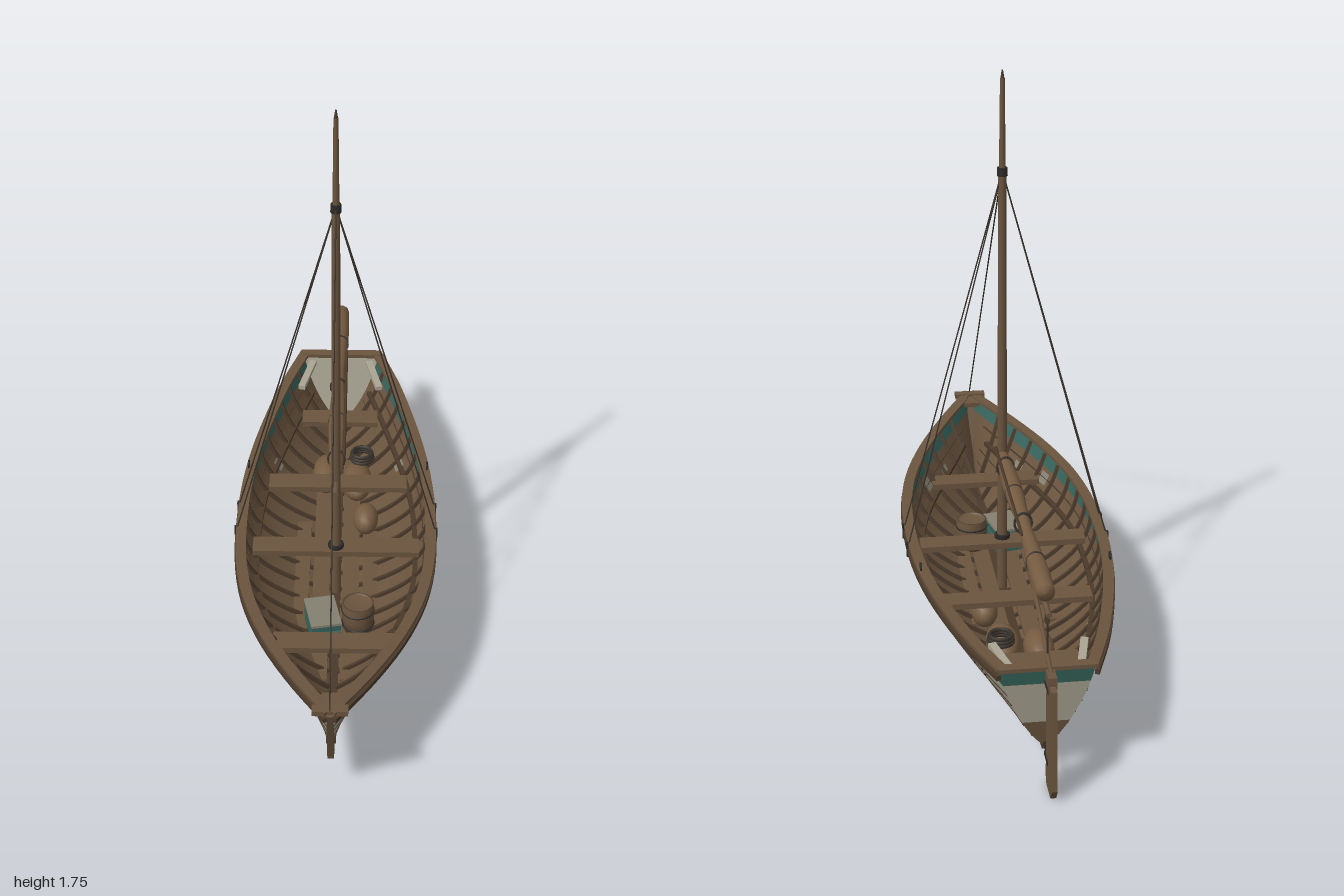
import * as THREE from 'three';

const mat = (name, color, side = THREE.FrontSide) => {
  const m = new THREE.MeshStandardMaterial({ color, side });
  m.name = name;
  return m;
};
const WOOD = mat('weathered wood', 0x6a543e, THREE.DoubleSide);
const DARK = mat('dark wood', 0x4b3a2b, THREE.DoubleSide);
const WHITE = mat('old white paint', 0xaaa594, THREE.DoubleSide);
const WORN = mat('worn paint', 0x858070, THREE.DoubleSide);
const TEAL = mat('teal paint', 0x35625a, THREE.DoubleSide);
const SAIL = mat('tan canvas', 0x755b41);
const ROPE = mat('tarred rope', 0x3a332c);
const IRON = mat('iron', 0x2c2a28);

// Hull stations from stern to bow: half beam, sheer height, keel height
const stations = new THREE.CatmullRomCurve3([
  [0.13, 0.335, 0.072], [0.19, 0.328, 0.064], [0.235, 0.321, 0.06], [0.27, 0.317, 0.058],
  [0.291, 0.315, 0.058], [0.297, 0.315, 0.058], [0.29, 0.318, 0.06], [0.26, 0.326, 0.066],
  [0.2, 0.338, 0.078], [0.113, 0.354, 0.1], [0.008, 0.374, 0.136],
].map(p => new THREE.Vector3(...p)), false, 'catmullrom');
const lerp = THREE.MathUtils.lerp;
const uAt = z => (z + 0.865) / 1.85;

// Point on the hull: u runs stern to bow, h runs keel to sheer
function hull(u, h, side = 1, inset = 0) {
  const s = stations.getPoint(THREE.MathUtils.clamp(u, 0, 1));
  const full = Math.sin(Math.PI / 2 * Math.pow(h, 0.72));
  const vee = Math.pow(h, 0.85);
  const w = Math.max(THREE.MathUtils.smoothstep(u, 0.55, 1), 0.5 * (1 - THREE.MathUtils.smoothstep(u, 0, 0.4)));
  const x = Math.max(0, s.x * lerp(full, vee, w) - inset);
  return new THREE.Vector3(side * x, lerp(s.z, s.y, h) + inset * (1 - h),
    lerp(lerp(-0.82, 0.885, u), lerp(-0.865, 0.985, u), h));
}
const hAt = (u, y) => {
  const s = stations.getPoint(u);
  return THREE.MathUtils.clamp((y - s.z) / (s.y - s.z), 0, 1);
};

function grid(nu, nv, fn) {
  const pos = [], idx = [];
  for (let i = 0; i <= nu; i++) for (let j = 0; j <= nv; j++) {
    pos.push(...fn(i / nu, j / nv).toArray());
    if (i < nu && j < nv) {
      const a = i * (nv + 1) + j, b = a + nv + 1;
      idx.push(a, b, a + 1, b, b + 1, a + 1);
    }
  }
  const g = new THREE.BufferGeometry();
  g.setAttribute('position', new THREE.Float32BufferAttribute(pos, 3));
  g.setIndex(idx);
  g.computeVertexNormals();
  return g;
}

// Solid bar from a list of equal closed rings, with capped ends
function loft(rings) {
  const n = rings[0].length, pos = [];
  const tri = (...p) => p.forEach(v => pos.push(v.x, v.y, v.z));
  for (let i = 0; i < rings.length - 1; i++) for (let j = 0; j < n; j++) {
    const k = (j + 1) % n, A = rings[i], B = rings[i + 1];
    tri(A[j], B[j], A[k]);
    tri(B[j], B[k], A[k]);
  }
  for (const r of [rings[0], rings.at(-1)]) for (let j = 1; j < n - 1; j++) tri(r[0], r[j], r[j + 1]);
  const g = new THREE.BufferGeometry();
  g.setAttribute('position', new THREE.Float32BufferAttribute(pos, 3));
  g.computeVertexNormals();
  return g;
}

// Rectangular strip following the hull lengthwise at height h
function strip(side, h, out0, out1, y0, y1, u0 = 0, u1 = 1) {
  const rings = [];
  for (let i = 0; i <= 36; i++) {
    const u = lerp(u0, u1, i / 36), p = hull(u, h);
    const t = hull(Math.min(1, u + 0.01), h).sub(hull(Math.max(0, u - 0.01), h));
    const l = Math.hypot(t.x, t.z);
    rings.push([[out0, y0], [out1, y0], [out1, y1], [out0, y1]].map(([o, y]) =>
      new THREE.Vector3(side * Math.max(0, p.x + o * t.z / l), p.y + y, p.z - o * t.x / l)));
  }
  return loft(rings);
}

export function createModel() {
  const root = new THREE.Group();
  root.name = 'sailingBoat';
  const add = (name, geo, m, x = 0, y = 0, z = 0) => {
    const mesh = new THREE.Mesh(geo, m);
    mesh.name = name;
    mesh.position.set(x, y, z);
    root.add(mesh);
    return mesh;
  };
  const box = (name, m, w, h, d, x, y, z) => add(name, new THREE.BoxGeometry(w, h, d), m, x, y, z);
  const rod = (name, m, a, b, r0, r1 = r0, sides = 10) => {
    const A = new THREE.Vector3(...a), B = new THREE.Vector3(...b), d = B.clone().sub(A);
    const mesh = add(name, new THREE.CylinderGeometry(r1, r0, d.length(), sides), m);
    mesh.position.copy(A).lerp(B, 0.5);
    mesh.quaternion.setFromUnitVectors(new THREE.Vector3(0, 1, 0), d.normalize());
    return mesh;
  };

  // Painted bands of the hull, as heights along its length
  const water = u => hAt(u, 0.152 + 0.006 * Math.sin(u * 17) + 0.003 * Math.sin(u * 53));
  const wear = u => Math.max(water(u), hAt(u, 0.164 + 0.014 * Math.sin(u * 11 + 4) + 0.006 * Math.sin(u * 41)));
  const tealLow = u => hAt(u, stations.getPoint(u).y - 0.05);
  const bands = [
    ['bottomPaint', () => 0, water, WOOD], ['wornWaterline', water, wear, WORN],
    ['topsidePaint', wear, tealLow, WHITE], ['sheerStrake', tealLow, () => 1, TEAL],
  ];
  for (const s of [1, -1]) {
    for (const [name, lo, hi, m] of bands)
      add(name, grid(60, 12, (u, v) => hull(u, lerp(lo(u), hi(u), v), s)), m);
    add('innerPlanking', grid(40, 14, (u, v) => hull(u, 0.83 * v, s, 0.012)), WOOD);
    add('innerSheerStrake', grid(40, 2, (u, v) => hull(u, lerp(0.83, 1, v), s, 0.012)), TEAL);
    add('gunwaleCap', strip(s, 1, -0.024, 0.008, 0, 0.01), WOOD);
    add('rubbingStrake', strip(s, 1, -0.002, 0.011, -0.024, -0.01), DARK);
    add('seatStringer', strip(s, 0.6, -0.026, -0.01, -0.006, 0.006, 0.03, 0.93), DARK);
    for (const h of [0.14, 0.28, 0.42, 0.56, 0.69])
      add('plankSeam', strip(s, h, -0.002, 0.002, -0.001, 0.001), DARK);
    for (const h of [0.3, 0.45, 0.74])
      add('innerSeam', strip(s, h, -0.016, -0.011, -0.0015, 0.0015, 0.02, 0.95), DARK);

    // Ribs
    for (let i = 0; i < 19; i++) {
      const u = 0.05 + i * 0.048, rings = [];
      for (let j = 0; j <= 10; j++) {
        const h = j / 10 * 0.97, a = hull(u, h, s, 0.01), b = hull(u, h, s, 0.021);
        rings.push([[a, -1], [a, 1], [b, 1], [b, -1]].map(([p, k]) =>
          new THREE.Vector3(p.x, p.y, p.z + k * 0.005)));
      }
      add('rib', loft(rings), DARK);
    }

    // Flaked paint on the inner planks
    for (const [z, h] of [[-0.42, 0.5], [0.5, 0.66], [0.64, 0.55]])
      add('innerPaintPatch', grid(4, 3, (a, b) =>
        hull(uAt(z) + 0.022 * a, h + 0.13 * b, s, 0.0145)), WORN);
    // Nail heads
    for (const z of [0.58, 0.5, 0.13, 0.06, -0.22, -0.3, -0.62, -0.7]) for (const h of [0.63, 0.7]) {
      const p = hull(uAt(z), h, s);
      box('nailHead', IRON, 0.005, 0.005, 0.008, p.x, p.y, p.z);
    }
    // Stern knee, rowlock and shrouds
    box('sternKnee', WHITE, 0.022, 0.015, 0.16, s * 0.112, 0.318, -0.76).rotation.y = s * 0.22;
    const lock = hull(uAt(-0.22), 1, s);
    add('rowlock', new THREE.TorusGeometry(0.011, 0.003, 6, 14), IRON, lock.x, lock.y + 0.02, lock.z).rotation.y = Math.PI / 2;
    for (const z of [0.09, -0.035]) {
      const p = hull(uAt(z), 1, s);
      rod('shroud', ROPE, [0, 1.445, 0.088], [p.x + s * 0.007, p.y, z], 0.0022, 0.0022, 5);
      box('chainplate', IRON, 0.006, 0.045, 0.012, p.x + s * 0.01, p.y - 0.012, z);
    }
  }

  // Transom
  const transom = (name, h0, h1, m, dz) => add(name, grid(8, 8, (a, b) => {
    const p = hull(0, lerp(h0, h1, b));
    p.x *= 2 * a - 1;
    p.z += dz;
    return p;
  }), m);
  transom('transomBottom', 0, 0.32, WOOD, 0);
  transom('transomPaint', 0.32, 0.82, WHITE, 0);
  transom('transomBand', 0.82, 1, TEAL, 0);
  transom('transomInside', 0.05, 1, WHITE, 0.02);
  box('transomCap', WOOD, 0.27, 0.012, 0.032, 0, 0.34, -0.857);

  // Keel, stem, keelson and bow cap
  const spine = (name, y0, y1, w, u0, u1) => {
    const rings = [];
    for (let i = 0; i <= 24; i++) {
      const p = hull(lerp(u0, u1, i / 24), 0);
      rings.push([[-w, y0], [w, y0], [w, y1], [-w, y1]].map(([x, y]) => new THREE.Vector3(x, p.y + y, p.z)));
    }
    add(name, loft(rings), DARK);
  };
  spine('keel', -0.01, 0.008, 0.009, 0, 1);
  spine('keelson', 0.005, 0.03, 0.014, 0.02, 0.97);
  const stem = [0, 0.25, 0.5, 0.75, 1].map(h => {
    const p = hull(1, h);
    return [[-0.011, -0.03], [0.011, -0.03], [0.009, 0.008], [-0.009, 0.008]].map(([x, z]) =>
      new THREE.Vector3(x, p.y + (h === 0 ? -0.008 : 0), p.z + z));
  });
  add('stem', loft(stem), WOOD);
  box('bowCap', WOOD, 0.1, 0.016, 0.03, 0, 0.376, 0.968);
  box('breasthook', WOOD, 0.05, 0.014, 0.06, 0, 0.368, 0.925);

  // Thwarts and floorboards
  for (const [z, half, y] of [[-0.63, 0.125, 0.23], [-0.26, 0.22, 0.235], [0.09, 0.255, 0.25], [0.54, 0.175, 0.25]])
    box('thwart', WOOD, half * 2, 0.018, 0.072, 0, y, z);
  for (const s of [1, -1]) {
    box('innerFloorboard', WOOD, 0.052, 0.01, 1.1, s * 0.045, 0.113, 0);
    box('outerFloorboard', WOOD, 0.045, 0.01, 0.6, s * 0.105, 0.119, 0.1);
  }

  // Cargo: bucket, crate, sacks and rope
  const tub = [[0, 0], [0.04, 0], [0.049, 0.05], [0.048, 0.1], [0.042, 0.1], [0.042, 0.092], [0, 0.092]];
  add('bucket', new THREE.LatheGeometry(tub.map(p => new THREE.Vector2(...p)), 18), WOOD, 0.07, 0.12, 0.32);
  for (const y of [0.145, 0.195])
    add('bucketHoop', new THREE.TorusGeometry(0.048, 0.003, 6, 20), IRON, 0.07, y, 0.32).rotation.x = Math.PI / 2;
  for (let i = 0; i < 3; i++)
    box('crateSlats', TEAL, 0.088, 0.018, 0.13, -0.035, 0.13 + i * 0.025, 0.335).rotation.y = 0.2;
  box('crateLid', WORN, 0.092, 0.008, 0.135, -0.035, 0.195, 0.335).rotation.y = 0.2;
  for (const [x, z, r, l] of [[0.06, -0.38, 0.05, 0.09], [-0.04, -0.42, 0.045, 0.09], [0.09, -0.18, 0.04, 0.06]])
    add('sack', new THREE.SphereGeometry(1, 16, 10), SAIL, x, 0.155, z).scale.set(r, 0.045, l);
  for (let i = 0; i < 3; i++)
    add('ropeCoil', new THREE.TorusGeometry(0.036 - i * 0.002, 0.006, 6, 20), ROPE, 0.075, 0.2 + i * 0.01, -0.45).rotation.x = Math.PI / 2;

  // Mast and forestay
  rod('mast', WOOD, [0, 0.08, 0.1], [0, 1.44, 0.088], 0.016, 0.012, 14);
  rod('masthead', WOOD, [0, 1.44, 0.088], [0, 1.72, 0.085], 0.01, 0.007, 12);
  rod('mastTip', DARK, [0, 1.72, 0.085], [0, 1.745, 0.085], 0.006, 0.002, 8);
  rod('houndBand', IRON, [0, 1.43, 0.088], [0, 1.455, 0.088], 0.016, 0.015, 12);
  rod('mastPartner', IRON, [0, 0.258, 0.098], [0, 0.272, 0.098], 0.024, 0.024, 12);
  rod('forestay', ROPE, [0, 1.45, 0.095], [0, 0.382, 0.98], 0.0022, 0.0022, 5);

  // Boom, furled sail and spare spar
  rod('boom', WOOD, [0, 0.505, 0.165], [0, 0.503, -0.875], 0.009, 0.008);
  const furl = [[0, 0], [0.026, 0.005], [0.029, 0.12], [0.023, 0.28], [0.019, 0.38], [0.02, 0.47], [0.026, 0.58],
    [0.028, 0.7], [0.022, 0.85], [0.017, 0.915], [0, 0.92]];
  const roll = add('furledSail', new THREE.LatheGeometry(furl.map(p => new THREE.Vector2(...p)), 18), SAIL, 0, 0.538, -0.815);
  roll.rotation.x = Math.PI / 2;
  for (const z of [0.02, -0.18, -0.37, -0.62])
    add('sailTie', new THREE.TorusGeometry(0.025, 0.0035, 6, 18), ROPE, 0, 0.533, z).scale.y = 1.25;
  rod('spareSpar', DARK, [0.024, 0.579, 0.065], [0.024, 0.57, -0.52], 0.005, 0.004, 8);

  // Mainsheet
  rod('mainsheet', ROPE, [0, 0.5, -0.845], [0, 0.345, -0.85], 0.0025, 0.0025, 5);
  box('sheetBlock', DARK, 0.012, 0.025, 0.016, 0, 0.48, -0.845);

  // Rudder with tiller
  const blade = new THREE.Shape([[0.888, 0.02], [0.9, 0], [0.975, 0], [1, 0.035], [0.982, 0.33], [0.887, 0.33]]
    .map(p => new THREE.Vector2(...p)));
  add('rudder', new THREE.ExtrudeGeometry(blade, { depth: 0.016, bevelEnabled: false }), WOOD, 0.008)
    .rotation.y = Math.PI / 2;
  root.children.at(-1).position.x = -0.008;
  for (const [y, z] of [[0.3, -0.858], [0.08, -0.82]]) {
    box('rudderStrap', IRON, 0.02, 0.012, 0.06, 0, y, -0.9);
    rod('rudderPin', IRON, [0, y, z], [0, y, -0.89], 0.006, 0.006, 8);
  }
  const arm = new THREE.CatmullRomCurve3([[0, 0.432, -0.6], [0, 0.42, -0.68], [0, 0.39, -0.78], [0, 0.368, -0.86], [0, 0.355, -0.925]]
    .map(p => new THREE.Vector3(...p)));
  add('tiller', new THREE.TubeGeometry(arm, 20, 0.006, 8), WOOD);
  box('rudderHead', WOOD, 0.024, 0.035, 0.05, 0, 0.338, -0.925);
  return root;
}
